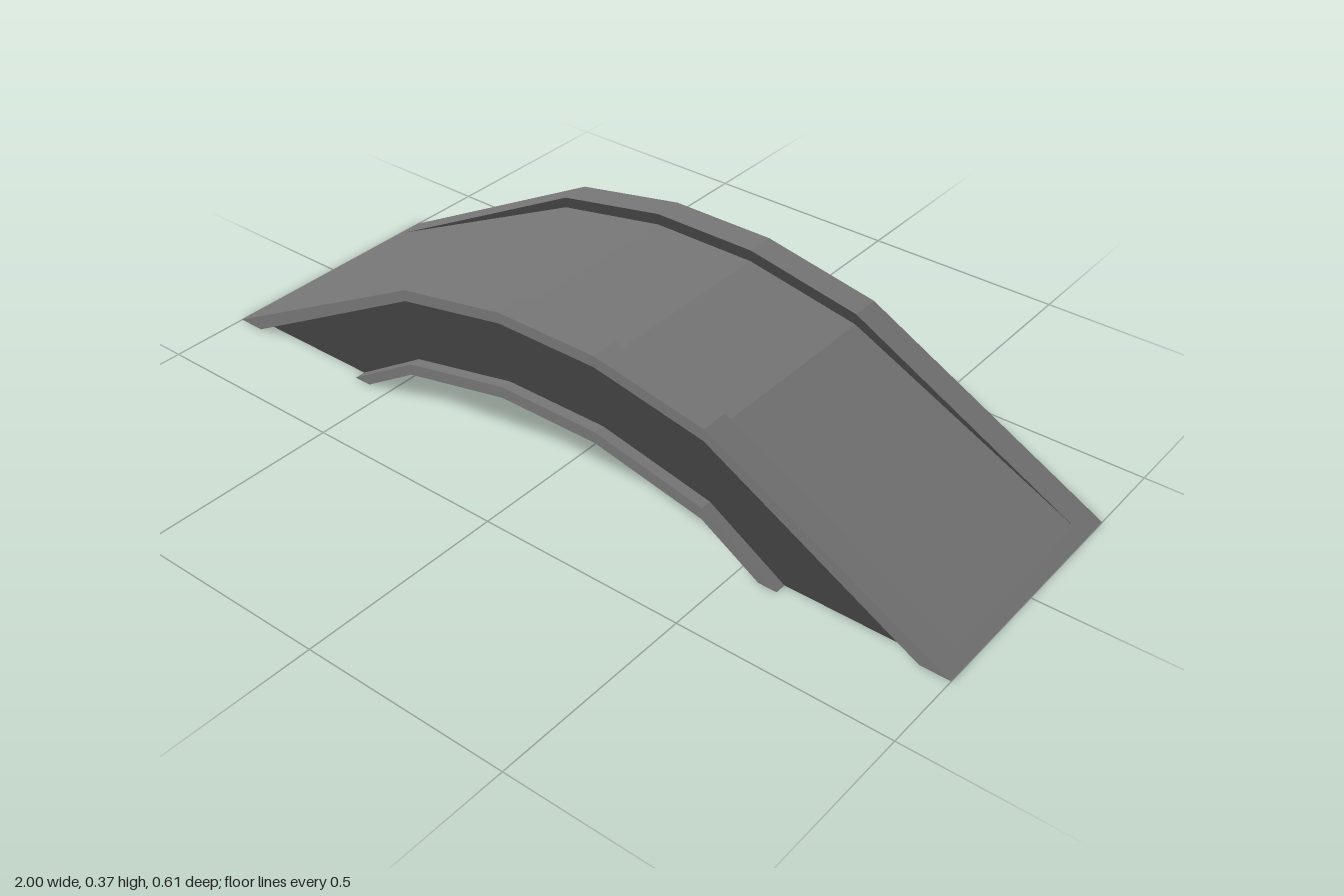
import * as THREE from 'three';

// Half profiles from the foot to the crown, mirrored in x
const OUTER = [[1, 0], [0.41, 0.313], [0.13, 0.367]];
const DECK = [[1, 0], [0.97, 0.016], [0.41, 0.287], [0.13, 0.34]];
const PANEL_TOP = [[0.93, 0], [0.41, 0.285], [0.13, 0.34]];
const PANEL_BOTTOM = [[0.6, 0], [0.41, 0.118], [0.13, 0.178]];
const SOFFIT = [[0.555, 0], [0.41, 0.09], [0.13, 0.15]];

const HALF_DEPTH = 0.304, PANEL_Z = 0.277, PARAPET_Z = 0.234;

// Full curve from left foot (-x) to right foot (+x)
function mirrored(half) {
  return [...half.map(([x, y]) => [-x, y]), ...half.slice().reverse()];
}

export function createModel() {
  const stone = new THREE.MeshStandardMaterial({ color: 0x787878 });
  stone.name = 'light stone';
  const dark = new THREE.MeshStandardMaterial({ color: 0x434343 });
  dark.name = 'dark stone';

  const group = new THREE.Group();
  group.name = 'archBridge';

  // Arch-shaped slab between two curves; separate materials for its sides, top and underside
  function arch(name, top, bottom, z0, z1, side, upper, under) {
    const outline = [...mirrored(bottom), ...mirrored(top).reverse()];
    const shape = new THREE.Shape(outline.map(([x, y]) => new THREE.Vector2(x, y)));
    const geo = new THREE.ExtrudeGeometry(shape, { depth: z1 - z0, bevelEnabled: false });
    geo.translate(0, 0, z0);
    geo.computeVertexNormals();
    geo.clearGroups();
    const n = geo.attributes.normal;
    for (let i = 0; i < n.count; i += 3) {
      const slot = Math.abs(n.getZ(i)) > 0.5 ? 0 : n.getY(i) > 0 ? 1 : 2;
      geo.addGroup(i, 3, slot);
    }
    const mesh = new THREE.Mesh(geo, [side, upper, under]);
    mesh.name = name;
    group.add(mesh);
  }

  // Roadway between the parapets
  arch('deck', DECK, SOFFIT, -PARAPET_Z, PARAPET_Z, dark, stone, dark);

  for (const s of [1, -1]) {
    const label = s > 0 ? 'front' : 'back';
    const add = (name, top, bottom, a, b, ...mats) =>
      arch(label + name, top, bottom, Math.min(s * a, s * b), Math.max(s * a, s * b), ...mats);
    // Parapet wall with its recessed dark face
    add('Parapet', OUTER, SOFFIT, PARAPET_Z, PANEL_Z, dark, stone, dark);
    // Raised borders framing the recessed face
    add('UpperRim', OUTER, PANEL_TOP, PANEL_Z, HALF_DEPTH, stone, stone, stone);
    add('LowerRim', PANEL_BOTTOM, SOFFIT, PANEL_Z, HALF_DEPTH, stone, stone, dark);
  }

  // Pale strip with tapered ends under the outer edge of each foot
  for (const s of [1, -1]) {
    const strip = new THREE.Shape([
      [0.995, -0.27], [0.995, 0.27], [0.95, 0.27], [0.92, 0.235], [0.92, -0.235], [0.95, -0.27],
    ].map(([x, z]) => new THREE.Vector2(s * x, z)));
    const geo = new THREE.ExtrudeGeometry(strip, { depth: 0.002, bevelEnabled: false });
    geo.rotateX(Math.PI / 2);
    geo.translate(0, 0.001, 0);
    const mesh = new THREE.Mesh(geo, stone);
    mesh.name = s > 0 ? 'leftFootStrip' : 'rightFootStrip';
    group.add(mesh);
  }
  return group;
}
